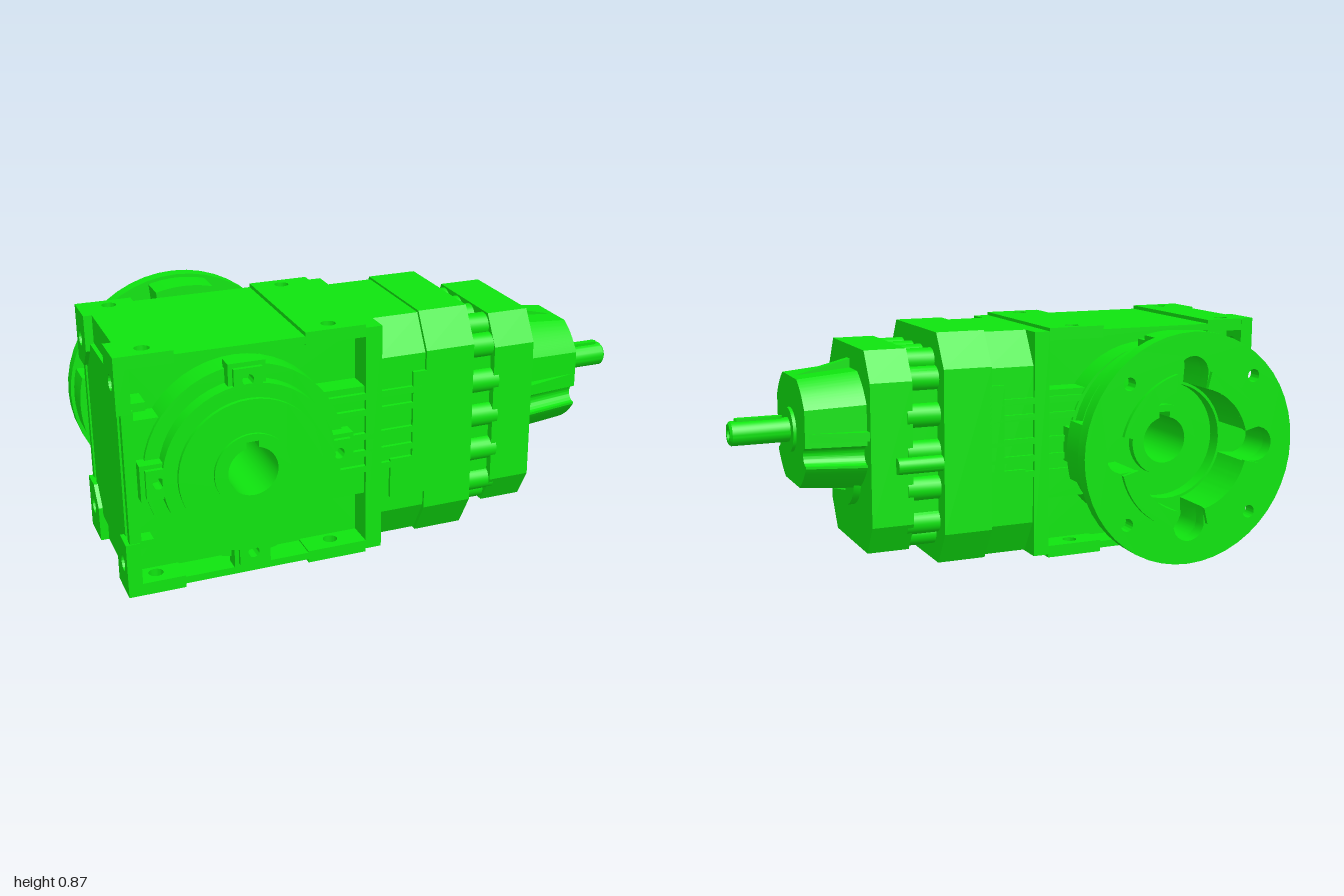
import * as THREE from 'three';
import { toCreasedNormals } from 'three/addons/utils/BufferGeometryUtils.js';

const HX = -0.57, HY = 0.435; // output bore axis
const CZ = 0.107;             // middle plane of the housing
const SY = 0.51;              // input shaft height
const TAU = Math.PI * 2;
const mat = new THREE.MeshStandardMaterial({ color: 0x0fe40f });

export function createModel() {
  const model = new THREE.Group();
  model.name = 'gearReducer';

  const add = (name, geo) => {
    const m = new THREE.Mesh(toCreasedNormals(geo, 0.5), mat);
    m.name = name;
    model.add(m);
    return m;
  };
  const box = (name, x0, x1, y0, y1, z0, z1) => add(name,
    new THREE.BoxGeometry(x1 - x0, y1 - y0, z1 - z0).translate((x0 + x1) / 2, (y0 + y1) / 2, (z0 + z1) / 2));
  const solid = (shape, d) => new THREE.ExtrudeGeometry(shape, { depth: d, bevelEnabled: false, curveSegments: 24 });
  const exZ = (name, s, z0, z1) => add(name, solid(s, z1 - z0).translate(0, 0, z0));
  // Along x: shape is (CZ - z, y). Along y: shape is (x, -z).
  const exX = (name, s, x0, x1) => add(name, solid(s, x1 - x0).rotateY(Math.PI / 2).translate(x0, 0, CZ));
  const exY = (name, s, y0, y1) => add(name, solid(s, y1 - y0).rotateX(-Math.PI / 2).translate(0, y0, 0));
  const cylX = (name, r, x0, x1, y, z) => add(name,
    new THREE.CylinderGeometry(r, r, x1 - x0, 24).rotateZ(Math.PI / 2).translate((x0 + x1) / 2, y, z));

  const poly = (pts) => new THREE.Shape(pts.map((p) => new THREE.Vector2(...p)));
  const rect = (x0, x1, y0, y1) => poly([[x0, y0], [x1, y0], [x1, y1], [x0, y1]]);
  const circle = (x, y, r) => new THREE.Shape().absarc(x, y, r, 0, TAU);
  const cut = (s, ...holes) => { s.holes.push(...holes); return s; };
  const polar = (fn, n = 144) => poly(Array.from({ length: n }, (_, i) => {
    const a = (i / n) * TAU, r = fn(a);
    return [HX + r * Math.cos(a), HY + r * Math.sin(a)];
  }));
  const octagon = (w, y0, y1, cw, ch) => poly([[-w + cw, y0], [w - cw, y0], [w, y0 + ch], [w, y1 - ch],
    [w - cw, y1], [-w + cw, y1], [-w, y1 - ch], [-w, y0 + ch]]);
  const ring = (r, ri) => cut(circle(HX, HY, r), circle(HX, HY, ri));

  // Main housing: narrow core with wide middle band, leaving bolt pockets in the corners
  exZ('housingCore', cut(rect(-0.97, -0.1, 0.03, 0.84), circle(HX, HY, 0.12)), -0.09, 0.305);
  exZ('housingBand', cut(rect(-0.975, -0.1, 0.23, 0.64), circle(HX, HY, 0.12)), -0.18, 0.39);
  exZ('bearingDrum', ring(0.355, 0.12), -0.19, 0.405);
  box('housingShoulder', -0.13, -0.07, 0.012, 0.858, -0.19, 0.405);

  // Top and bottom mounting pads with bolt holes
  for (const [y0, y1, m0, m1] of [[0.825, 0.87, 0.83, 0.856], [0, 0.045, 0.014, 0.04]]) {
    for (const [x0, x1, hx] of [[-0.97, -0.8, -0.89], [-0.35, -0.13, -0.245]])
      exY('mountingPad', cut(rect(x0, x1, -0.405, 0.19), circle(hx, -0.345, 0.026), circle(hx, 0.135, 0.026)), y0, y1);
    box('coverStrip', -0.8, -0.35, m0, m1, -0.19, 0.405);
  }

  // Closed end: corner bosses with bolt holes around a recessed cover
  for (const top of [false, true]) for (const s of [-1, 1]) {
    const u0 = s > 0 ? 0.15 : -0.298, y0 = top ? 0.67 : 0;
    const uc = s * 0.235, yc = top ? 0.765 : 0.105;
    const y1 = y0 + 0.2, inner = s * 0.15, outer = s * 0.298;
    const pts = top
      ? [[inner, y1], [outer, y1], [outer, y0], [s * 0.21, y0], [inner, y0 + 0.07]]
      : [[inner, y0], [outer, y0], [outer, y1], [s * 0.21, y1], [inner, y1 - 0.07]];
    exX('cornerBoss', cut(poly(pts), circle(uc, yc, 0.028)), -1, -0.95);
    box('cornerWeb', -0.96, -0.9, top ? 0.67 : 0.17, top ? 0.7 : 0.2, s > 0 ? -0.18 : 0.29, s > 0 ? -0.08 : 0.39);
  }
  exX('endCover', octagon(0.23, 0.1, 0.77, 0.09, 0.09), -0.985, -0.96);
  for (const s of [-1, 1]) box('endEdge', -0.985, -0.945, 0.19, 0.68, CZ + s * 0.28 - 0.015, CZ + s * 0.28 + 0.015);

  // Bearing covers on both faces, mirrored about the middle plane
  for (const s of [1, -1]) {
    const span = (name, shape, a, b) => s > 0 ? exZ(name, shape, CZ + a, CZ + b) : exZ(name, shape, CZ - b, CZ - a);
    span('bearingCover', ring(0.305, 0.12), 0.28, 0.353);
    if (s > 0) span('coverFace', ring(0.255, 0.12), 0.35, 0.368);
    for (let i = 0; i < 4; i++) {
      const a = (i * Math.PI) / 2, c = Math.cos(a), d = Math.sin(a);
      const at = (r, t) => [HX + r * c - t * d, HY + r * d + t * c];
      const hole = () => circle(...at(0.318, 0), 0.02);
      span('coverLug', cut(poly([at(0.28, -0.065), at(0.376, -0.065), at(0.376, 0.065), at(0.28, 0.065)]), hole()), 0.28, 0.338);
      span('lugBoss', cut(poly([at(0.28, -0.05), at(0.36, -0.05), at(0.36, 0.05), at(0.28, 0.05)]), hole()), 0.33, 0.353);
    }
  }

  // Hollow output shaft with keyway
  const bore = new THREE.Path();
  bore.absarc(HX, HY, 0.088, Math.PI / 2 + 0.25, Math.PI / 2 - 0.25 + TAU);
  bore.lineTo(HX + 0.022, HY + 0.108);
  bore.lineTo(HX - 0.022, HY + 0.108);
  bore.closePath();
  exZ('hollowShaft', cut(circle(HX, HY, 0.135), bore), -0.275, 0.485);

  // Output flange on the back: cup with four round notches in its opening
  const offAxis = (a) => a - Math.round(a / (Math.PI / 2)) * (Math.PI / 2);
  const opening = () => polar((a) => {
    const d = offAxis(a), q = 0.065 ** 2 - (0.28 * Math.sin(d)) ** 2;
    return q > 0 ? Math.max(0.23, 0.28 * Math.cos(d) + Math.sqrt(q)) : 0.23;
  });
  const boltHoles = Array.from({ length: 4 }, (_, i) => {
    const a = Math.PI / 4 + (i * Math.PI) / 2;
    return circle(HX + 0.365 * Math.cos(a), HY + 0.365 * Math.sin(a), 0.024);
  });
  exZ('flangeBase', ring(0.374, 0.22), -0.302, -0.248);
  exZ('flangeWall', cut(polar((a) => (Math.abs(offAxis(a)) < 0.28 ? 0.42 : 0.335)), opening()), -0.42, -0.3);
  exZ('flangePlate', cut(circle(HX, HY, 0.433), opening(), ...boltHoles), -0.47, -0.416);
  for (let i = 0; i < 4; i++) {
    const a0 = (i * Math.PI) / 2 + 0.245, a1 = a0 + Math.PI / 2 - 0.49;
    const s = new THREE.Shape();
    s.absarc(HX, HY, 0.293, a0, a1, false);
    s.absarc(HX, HY, 0.23, a1, a0, true);
    exZ('flangeSpigot', s, -0.485, -0.468);
  }

  // Chamfered gear case between housing and adapter
  exX('gearCase', octagon(0.285, 0.016, 0.858, 0.073, 0.125), -0.08, 0.11);
  exX('gearCaseRim', octagon(0.297, 0.008, 0.866, 0.075, 0.125), 0.1, 0.285);
  for (const s of [1, -1]) {
    const z0 = s > 0 ? 0.38 : -0.19, z1 = s > 0 ? 0.405 : -0.165;
    for (const y of [0.33, 0.39, 0.455, 0.545, 0.605]) box('sideRib', -0.27, 0.1, y - 0.012, y + 0.012, z0, z1);
    box('sidePad', -0.035, 0.1, 0.2, 0.35, z0, z1);
    box('rimStep', 0.05, 0.11, 0.2, 0.67, z0, z1);
  }

  // Scalloped neck and adapter plate
  exX('neck', octagon(0.228, 0.095, 0.78, 0.06, 0.1), 0.28, 0.41);
  for (const s of [1, -1]) {
    for (const y of [0.17, 0.30, 0.435, 0.57, 0.70])
      cylX('neckBoss', 0.045, 0.28, 0.41, y, CZ + s * (Math.abs(y - 0.435) > 0.2 ? 0.205 : 0.22));
    for (const z of [0.05, 0.16]) for (const y of [0.115, 0.76]) cylX('neckBoss', 0.045, 0.28, 0.41, y, CZ + s * z);
  }
  exX('adapterPlate', octagon(0.258, 0.065, 0.811, 0.065, 0.11), 0.39, 0.548);
  cylX('oilBoss', 0.03, 0.28, 0.455, 0.397, -0.16);
  cylX('lowerBoss', 0.135, 0.54, 0.575, 0.345, CZ);

  // Tapered input housing with side grooves and four ribs
  const k = new THREE.Shape();
  const H = 0.217, N = -0.075;
  k.moveTo(-0.11, -H);
  k.lineTo(0.11, -H);
  k.quadraticCurveTo(0.175, -0.18, H, -0.12);
  k.absarc(H, N, 0.036, -Math.PI / 2, Math.PI / 2, true);
  k.lineTo(H, 0.11);
  k.quadraticCurveTo(0.175, 0.18, 0.11, H);
  k.lineTo(-0.11, H);
  k.quadraticCurveTo(-0.175, 0.18, -H, 0.11);
  k.absarc(-H, N, 0.036, Math.PI / 2, -Math.PI / 2, true);
  k.lineTo(-H, -0.12);
  k.quadraticCurveTo(-0.175, -0.18, -0.11, -H);
  const taper = solid(k, 0.23);
  const p = taper.attributes.position;
  for (let i = 0; i < p.count; i++) {
    const f = 1 - 0.09 * (p.getZ(i) / 0.23);
    p.setXY(i, p.getX(i) * f, p.getY(i) * f);
  }
  add('inputHousing', taper.rotateY(Math.PI / 2).translate(0.54, SY, CZ));
  for (let i = 0; i < 4; i++) {
    const rib = solid(poly([[0.54, 0.15], [0.77, 0.15], [0.77, 0.195], [0.54, 0.252]]), 0.032).translate(0, 0, -0.016);
    add('inputRib', rib.rotateX((i * Math.PI) / 2).translate(0, SY, CZ));
  }

  // Input shaft with collar, centre hole and key
  const profile = [[0, 0.75], [0.082, 0.75], [0.082, 0.782], [0.045, 0.782], [0.045, 0.992], [0.037, 1], [0.024, 1], [0.014, 0.975], [0, 0.965]];
  add('inputShaft', new THREE.LatheGeometry(profile.map((q) => new THREE.Vector2(...q)), 40)
    .rotateZ(-Math.PI / 2).translate(0, SY, CZ));
  const key = new THREE.Shape();
  key.absarc(0.965, -CZ, 0.013, -Math.PI / 2, Math.PI / 2);
  key.absarc(0.815, -CZ, 0.013, Math.PI / 2, Math.PI * 1.5);
  exY('shaftKey', key, 0.53, 0.564);

  return model;
}
